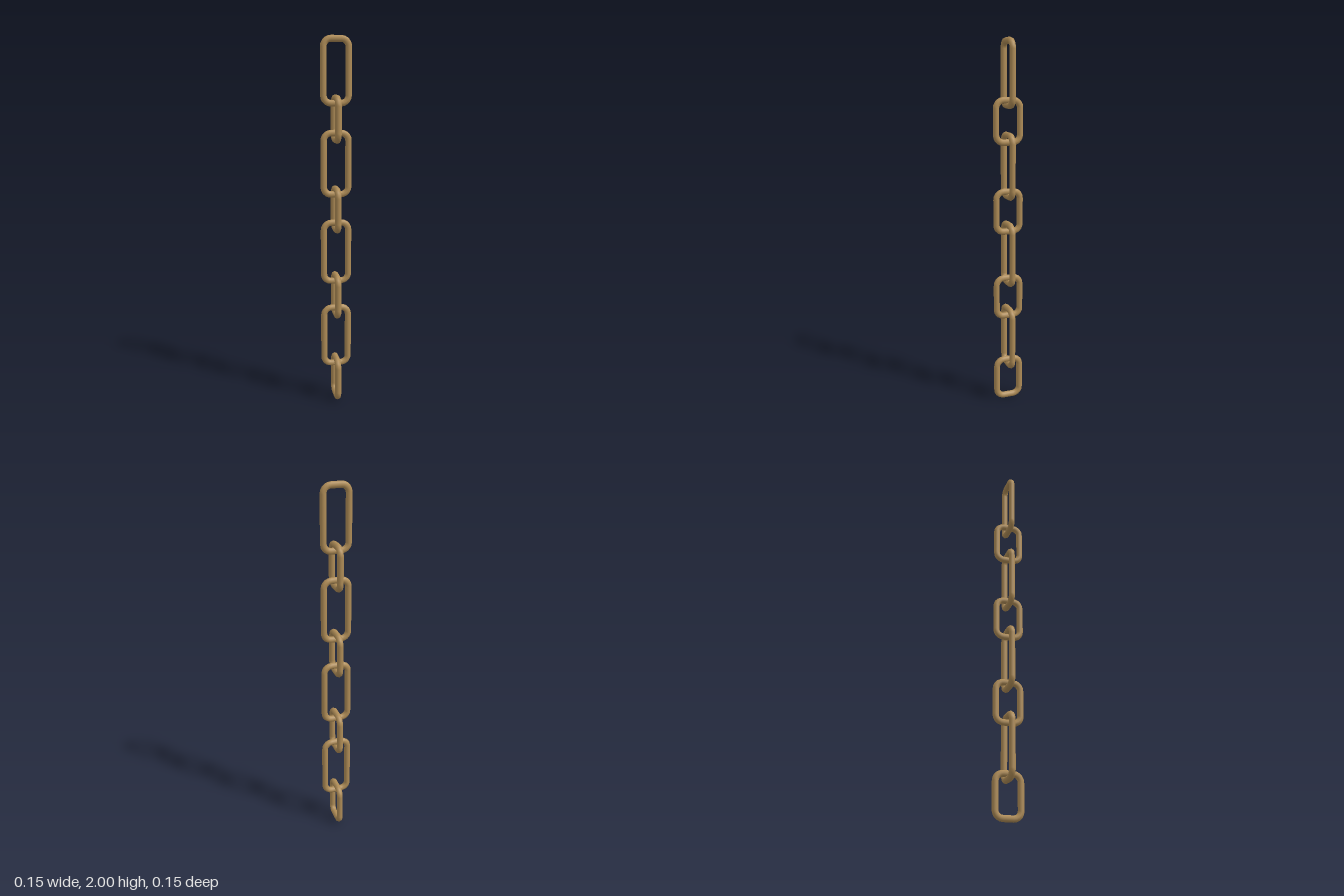
import * as THREE from 'three';

const WIRE = 0.0175;      // wire radius
const HALF_WIDTH = 0.067; // link half width at the wire centre
const CORNER = 0.04;      // corner radius at the wire centre
const STEPS = 5, SIDES = 8;

// A torus whose rings are re-spaced into a rounded rectangle
function linkGeometry(height) {
  const rings = 4 * (STEPS + 1);
  const geo = new THREE.TorusGeometry(CORNER, WIRE, SIDES, rings);
  const pos = geo.attributes.position, nor = geo.attributes.normal;
  const dx = HALF_WIDTH - CORNER, dy = height / 2 - WIRE - CORNER;
  for (let n = 0; n < pos.count; n++) {
    const side = Math.floor(n / (rings + 1));
    const ring = (n % (rings + 1)) % rings;
    const quarter = Math.floor(ring / (STEPS + 1));
    const u = (quarter + (ring % (STEPS + 1)) / STEPS) * Math.PI / 2;
    const v = side / SIDES * Math.PI * 2;
    const sx = quarter === 0 || quarter === 3 ? 1 : -1;
    const sy = quarter < 2 ? 1 : -1;
    const r = CORNER + WIRE * Math.cos(v);
    pos.setXYZ(n, sx * dx + r * Math.cos(u), sy * dy + r * Math.sin(u), WIRE * Math.sin(v));
    nor.setXYZ(n, Math.cos(v) * Math.cos(u), Math.cos(v) * Math.sin(u), Math.sin(v));
  }
  return geo;
}

export function createModel() {
  const chain = new THREE.Group();
  chain.name = 'chain';
  const bronze = new THREE.MeshStandardMaterial({ color: 0xb08d57 });
  bronze.name = 'bronze';

  const longLink = linkGeometry(0.362);
  const shortLink = linkGeometry(0.254);
  const turn = THREE.MathUtils.degToRad(-25);
  const pitch = 0.482;

  // Alternate short and long links, each a quarter turn from the next
  for (let i = 0; i < 4; i++) {
    const short = new THREE.Mesh(shortLink, bronze);
    short.name = `shortLink${i + 1}`;
    short.position.y = 0.127 + i * pitch;
    short.rotation.y = turn + Math.PI / 2;

    const long = new THREE.Mesh(longLink, bronze);
    long.name = `longLink${i + 1}`;
    long.position.y = 0.373 + i * pitch;
    long.rotation.y = turn;
    chain.add(short, long);
  }
  return chain;
}
